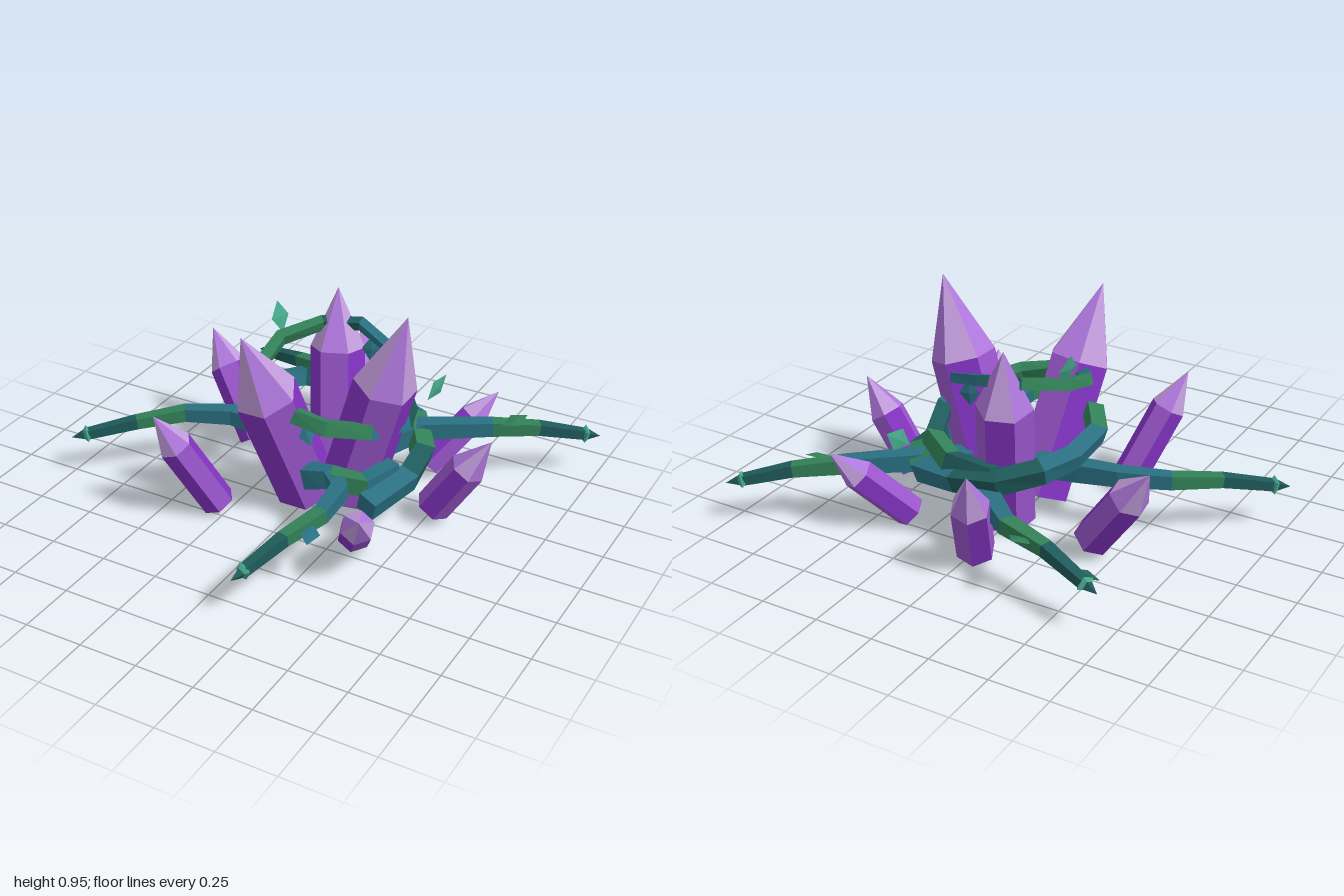
import * as THREE from 'three';

const V = (p) => new THREE.Vector3(...p);
const UP = new THREE.Vector3(0, 1, 0);

function material(name, color) {
  const m = new THREE.MeshStandardMaterial({ color, flatShading: true });
  m.name = name;
  return m;
}

// Prism between two cross-sections, each a list of corner points
function prism(a, b) {
  const pos = [];
  const tri = (...pts) => pts.forEach((p) => pos.push(p.x, p.y, p.z));
  const n = a.length;
  for (let i = 0; i < n; i++) {
    const j = (i + 1) % n;
    tri(a[i], a[j], b[j]);
    tri(a[i], b[j], b[i]);
  }
  for (let i = 1; i < n - 1; i++) {
    tri(a[0], a[i + 1], a[i]);
    tri(b[0], b[i], b[i + 1]);
  }
  const g = new THREE.BufferGeometry();
  g.setAttribute('position', new THREE.Float32BufferAttribute(pos, 3));
  g.computeVertexNormals();
  return g;
}

// Give the six sides of a cylinder two alternating materials
function alternateSides(geometry, perSide) {
  geometry.clearGroups();
  for (let i = 0; i < 6; i++) geometry.addGroup(i * perSide, perSide, i % 2);
  const rest = geometry.index.count - 6 * perSide;
  if (rest > 0) geometry.addGroup(6 * perSide, rest, 1);
  return geometry;
}

export function createModel() {
  const root = new THREE.Group();
  root.name = 'crystalCluster';

  const shaftMats = [material('soft purple', 0x9a56cc), material('vivid purple', 0x8434c4)];
  const tipMats = [material('bright violet', 0xb078de), material('pale lilac', 0xc29cdc)];
  const teal = material('vine teal', 0x2a7082);
  const green = material('vine green', 0x328057);
  const dark = material('vine dark teal', 0x1f5a5a);
  const mint = material('mint', 0x46a88c);

  function add(parent, geometry, mat, name) {
    const mesh = new THREE.Mesh(geometry, mat);
    mesh.name = name;
    parent.add(mesh);
    return mesh;
  }

  // Hexagonal crystal from base to tip; t is where the point begins
  function crystal(name, base, tip, r, t, turn) {
    const g = new THREE.Group();
    g.name = name;
    const axis = V(tip).sub(V(base));
    const len = axis.length();
    g.position.copy(V(base));
    g.quaternion.setFromUnitVectors(UP, axis.normalize());
    const shaft = new THREE.CylinderGeometry(r, r, len * t, 6);
    shaft.rotateY(turn).translate(0, (len * t) / 2, 0);
    add(g, alternateSides(shaft, 6), shaftMats, 'crystalShaft');
    const point = new THREE.CylinderGeometry(0, r, len * (1 - t), 6, 1, true);
    point.rotateY(turn).translate(0, len * (1 + t) / 2, 0);
    add(g, alternateSides(point, 3), tipMats, 'crystalPoint');
    root.add(g);
  }

  // Three tall crystals
  crystal('frontTallCrystal', [-0.015, 0.05, -0.06], [-0.12, 0.885, 0.28], 0.135, 0.64, 0.44);
  crystal('leftTallCrystal', [0.155, 0.05, -0.125], [0.42, 0.945, -0.09], 0.134, 0.63, 0);
  crystal('backTallCrystal', [0.01, 0.03, -0.28], [-0.06, 0.83, -0.41], 0.117, 0.68, -0.17);
  // Ring of short crystals leaning outwards
  crystal('leftShortCrystal', [0.53, 0.065, -0.16], [0.77, 0.44, -0.17], 0.077, 0.6, 0.52);
  crystal('backLeftShortCrystal', [0.35, 0.05, -0.48], [0.575, 0.36, -0.7], 0.07, 0.65, 0.2);
  crystal('frontLeftShortCrystal', [0.34, 0.055, 0.18], [0.525, 0.36, 0.5], 0.07, 0.68, 0.3);
  crystal('backShortCrystal', [-0.04, 0.05, -0.6], [-0.13, 0.485, -0.795], 0.08, 0.6, 0.4);
  crystal('backRightShortCrystal', [-0.4, 0.06, -0.3], [-0.7, 0.475, -0.42], 0.083, 0.65, 0.1);
  crystal('frontRightShortCrystal', [-0.285, 0.045, 0.22], [-0.455, 0.507, 0.42], 0.074, 0.67, 0.6);

  // Square vine through points, tapering from r0 to r1, one colour per segment
  function vine(name, points, r0, r1, colours, roll = 0, bud = false) {
    const g = new THREE.Group();
    g.name = name;
    const pts = points.map(V);
    const last = pts.length - 1;
    const rings = pts.map((p, i) => {
      const dir = pts[Math.min(i + 1, last)].clone().sub(pts[Math.max(i - 1, 0)]).normalize();
      const side = new THREE.Vector3().crossVectors(UP, dir).normalize();
      const up = new THREE.Vector3().crossVectors(dir, side);
      const r = r0 + ((r1 - r0) * i) / last;
      return [0, 1, 2, 3].map((k) => {
        const a = Math.PI / 4 + roll + (k * Math.PI) / 2;
        return p.clone().addScaledVector(side, r * Math.cos(a)).addScaledVector(up, r * Math.sin(a));
      });
    });
    for (let i = 0; i < last; i++) add(g, prism(rings[i], rings[i + 1]), colours[i], 'vineSegment');
    if (bud) {
      // Pointed dark bud with a small mint collar at the end of the vine
      const dir = pts[last].clone().sub(pts[last - 1]).normalize();
      const tip = new THREE.Group();
      tip.name = 'vineBud';
      tip.quaternion.setFromUnitVectors(UP, dir);
      tip.position.copy(pts[last]);
      add(tip, new THREE.ConeGeometry(0.032, 0.075, 4).translate(0, 0.03, 0), dark, 'budPoint');
      add(tip, new THREE.OctahedronGeometry(0.04).scale(1, 0.8, 1), mint, 'budCollar');
      g.add(tip);
    }
    root.add(g);
  }

  // Four spreading arms
  vine('backLeftArm', [[0.22, 0.22, -0.24], [0.35, 0.26, -0.41], [0.6, 0.25, -0.585],
    [0.77, 0.235, -0.7], [0.94, 0.195, -0.815]], 0.062, 0.028, [teal, teal, green, dark], 0, true);
  vine('frontArm', [[0.08, 0.22, 0.1], [0.2, 0.25, 0.11], [0.28, 0.26, 0.2], [0.29, 0.25, 0.37],
    [0.235, 0.235, 0.57], [0.18, 0.195, 0.78]], 0.062, 0.028, [teal, teal, teal, green, dark], 0, true);
  vine('frontRightArm', [[-0.05, 0.22, -0.13], [-0.25, 0.24, -0.13], [-0.42, 0.255, -0.12],
    [-0.61, 0.25, -0.04], [-0.77, 0.23, 0.1], [-0.94, 0.19, 0.235]], 0.062, 0.028,
  [teal, teal, teal, green, dark], 0, true);
  vine('backRightArm', [[0.02, 0.24, -0.49], [-0.1, 0.26, -0.57], [-0.23, 0.26, -0.68],
    [-0.43, 0.24, -0.73], [-0.64, 0.195, -0.805]], 0.062, 0.028, [teal, teal, green, dark], 0, true);

  // Lower coil sweeping around the back
  vine('lowerCoil', [[0.37, 0.18, 0.14], [0.44, 0.21, -0.1], [0.42, 0.23, -0.28], [0.29, 0.26, -0.47],
    [0.1, 0.29, -0.52], [-0.09, 0.32, -0.51], [-0.23, 0.36, -0.41], [-0.295, 0.38, -0.28],
    [-0.295, 0.4, -0.08], [-0.2, 0.42, 0.06]], 0.062, 0.048,
  [teal, dark, green, teal, dark, dark, teal, teal, green], 0.3);
  // Upper coil winding from the back to the top
  vine('upperCoil', [[-0.05, 0.32, -0.48], [0.15, 0.34, -0.48], [0.29, 0.37, -0.39], [0.36, 0.4, -0.2],
    [0.3, 0.44, 0.0], [0.17, 0.48, 0.12], [0.03, 0.515, 0.14], [-0.13, 0.55, 0.09], [-0.22, 0.6, -0.04],
    [-0.22, 0.645, -0.2], [-0.1, 0.68, -0.35], [0.05, 0.685, -0.41], [0.2, 0.64, -0.36]],
  0.054, 0.028, [dark, green, dark, teal, green, green, dark, teal, green, green, dark, teal], 0.3);
  // Short inner tendril
  vine('innerTendril', [[0.2, 0.26, 0.13], [0.33, 0.24, 0.08], [0.38, 0.25, -0.08]], 0.055, 0.05, [green, teal]);

  // Diamond leaves: root, direction, facing, length, colour
  const leaves = [
    [[-0.22, 0.66, -0.22], [-0.3, 1, -0.15], [1, 0.2, 0.3], 0.14, mint],
    [[0.12, 0.66, -0.38], [0, -1, 0.1], [0.4, 0, 1], 0.12, teal],
    [[0.34, 0.36, -0.48], [0.25, 0.6, -0.75], [1, 0.2, -0.1], 0.14, mint],
    [[0.65, 0.27, -0.58], [0.5, 0.2, -0.6], [0, 1, 0.2], 0.12, green],
    [[-0.28, 0.26, -0.74], [-0.9, 0.1, -0.3], [0, 1, 0.2], 0.12, green],
    [[0.28, 0.25, 0.43], [0.35, -0.2, 0.9], [0.3, 1, 0.2], 0.13, teal],
    [[0.08, 0.48, 0.14], [0.7, -0.5, 0.6], [0, 1, 0.6], 0.1, teal],
    [[-0.57, 0.22, -0.77], [-0.9, -0.3, 0.2], [0, 0.5, 1], 0.11, mint],
  ];
  leaves.forEach(([p, d, facing, len, mat]) => {
    const geo = new THREE.OctahedronGeometry(1).scale(len * 0.34, len / 2, 0.008).translate(0, len / 2, 0);
    const leaf = add(root, geo, mat, 'leaf');
    const along = V(d).normalize();
    const side = new THREE.Vector3().crossVectors(along, V(facing)).normalize();
    const normal = new THREE.Vector3().crossVectors(side, along);
    leaf.quaternion.setFromRotationMatrix(new THREE.Matrix4().makeBasis(side, along, normal));
    leaf.position.copy(V(p));
  });

  return root;
}
